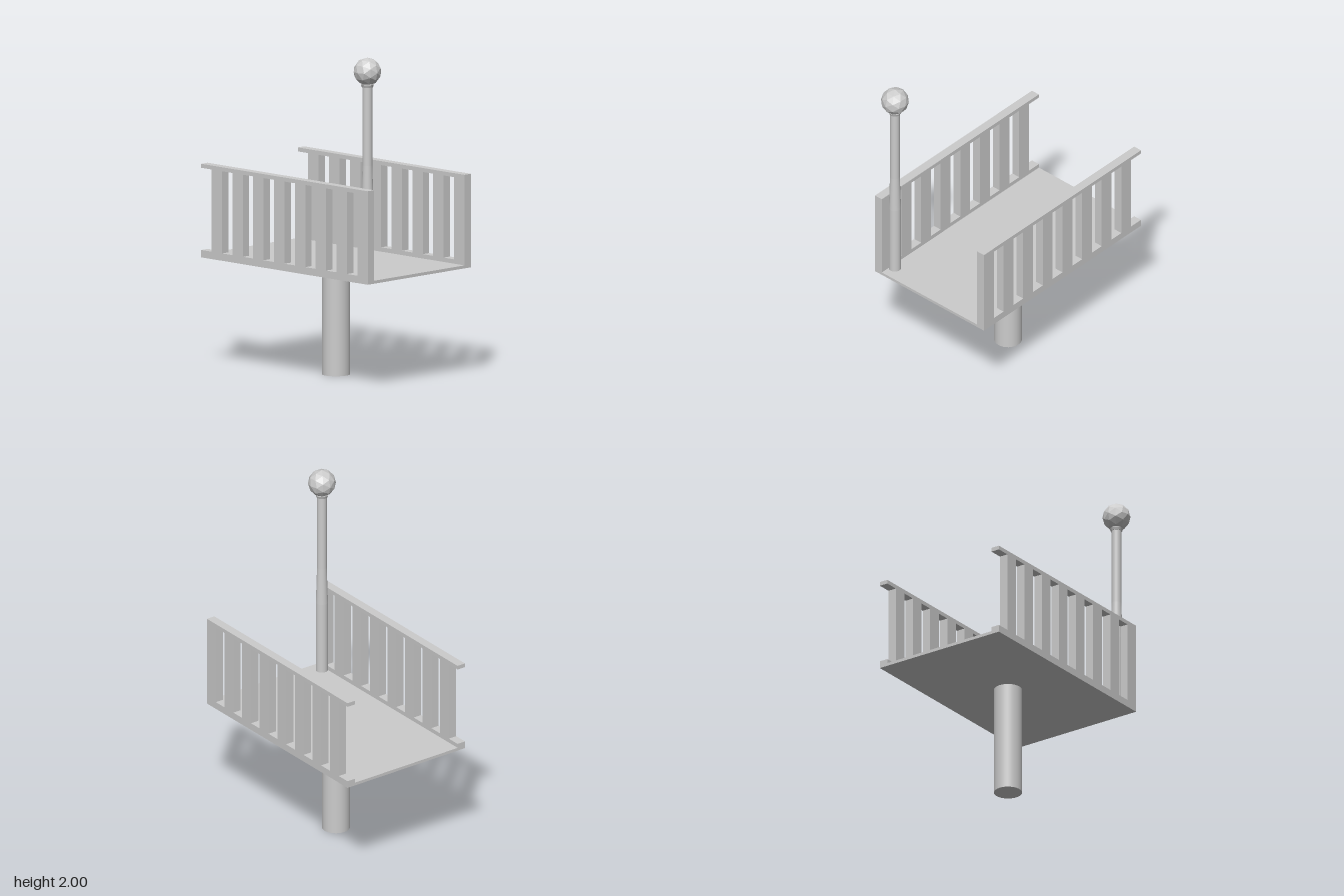
import * as THREE from 'three';

export function createModel() {
  const model = new THREE.Group();
  const grey = new THREE.MeshStandardMaterial({ color: 0xcccccc });
  grey.name = 'light grey';
  const facetedGrey = grey.clone();
  facetedGrey.flatShading = true;
  facetedGrey.name = 'faceted light grey';

  const add = (parent, name, geometry, x, y, z, material = grey) => {
    const mesh = new THREE.Mesh(geometry, material);
    mesh.name = name;
    mesh.position.set(x, y, z);
    parent.add(mesh);
    return mesh;
  };

  const length = 1.376, halfWidth = 0.432, thick = 0.054;
  const bottom = 0.666, railTop = 1.224;
  const lowRail = 0.044, highRail = 0.024;

  // Support column and deck
  add(model, 'column', new THREE.CylinderGeometry(0.083, 0.083, bottom, 32), 0, bottom / 2, 0);
  add(model, 'deck', new THREE.BoxGeometry(2 * (halfWidth - thick), 0.018, length), 0, bottom + 0.009, 0);

  // Side railings: two rails and eight evenly spaced slats, starting flush at the front
  const pitch = length / 8;
  const slatHeight = railTop - highRail - bottom - lowRail;
  for (const side of [-1, 1]) {
    const railing = new THREE.Group();
    railing.name = side < 0 ? 'rightRailing' : 'leftRailing';
    railing.position.x = side * (halfWidth - thick / 2);
    add(railing, 'bottomRail', new THREE.BoxGeometry(thick, lowRail, length), 0, bottom + lowRail / 2, 0);
    add(railing, 'topRail', new THREE.BoxGeometry(thick, highRail, length), 0, railTop - highRail / 2, 0);
    for (let i = 0; i < 8; i++) {
      const z = length / 2 - pitch * (i + 0.25);
      add(railing, 'slat', new THREE.BoxGeometry(thick, slatHeight, pitch / 2),
        0, bottom + lowRail + slatHeight / 2, z);
    }
    model.add(railing);
  }

  // Tapered post with a collar and a faceted ball
  const post = new THREE.Group();
  post.name = 'post';
  post.position.set(-0.35, 0, 0.604);
  const tube = (name, top, base, y0, y1) =>
    add(post, name, new THREE.CylinderGeometry(top, base, y1 - y0, 24), 0, (y0 + y1) / 2, 0);
  tube('postBase', 0.036, 0.036, 0.68, 1.13);
  tube('postTaper', 0.029, 0.036, 1.13, 1.36);
  tube('postShaft', 0.029, 0.029, 1.36, 1.83);
  tube('collar', 0.039, 0.033, 1.826, 1.842);
  tube('neck', 0.034, 0.034, 1.842, 1.86);
  add(post, 'ball', new THREE.IcosahedronGeometry(0.083, 1), 0, 1.918, 0, facetedGrey);
  model.add(post);

  return model;
}
